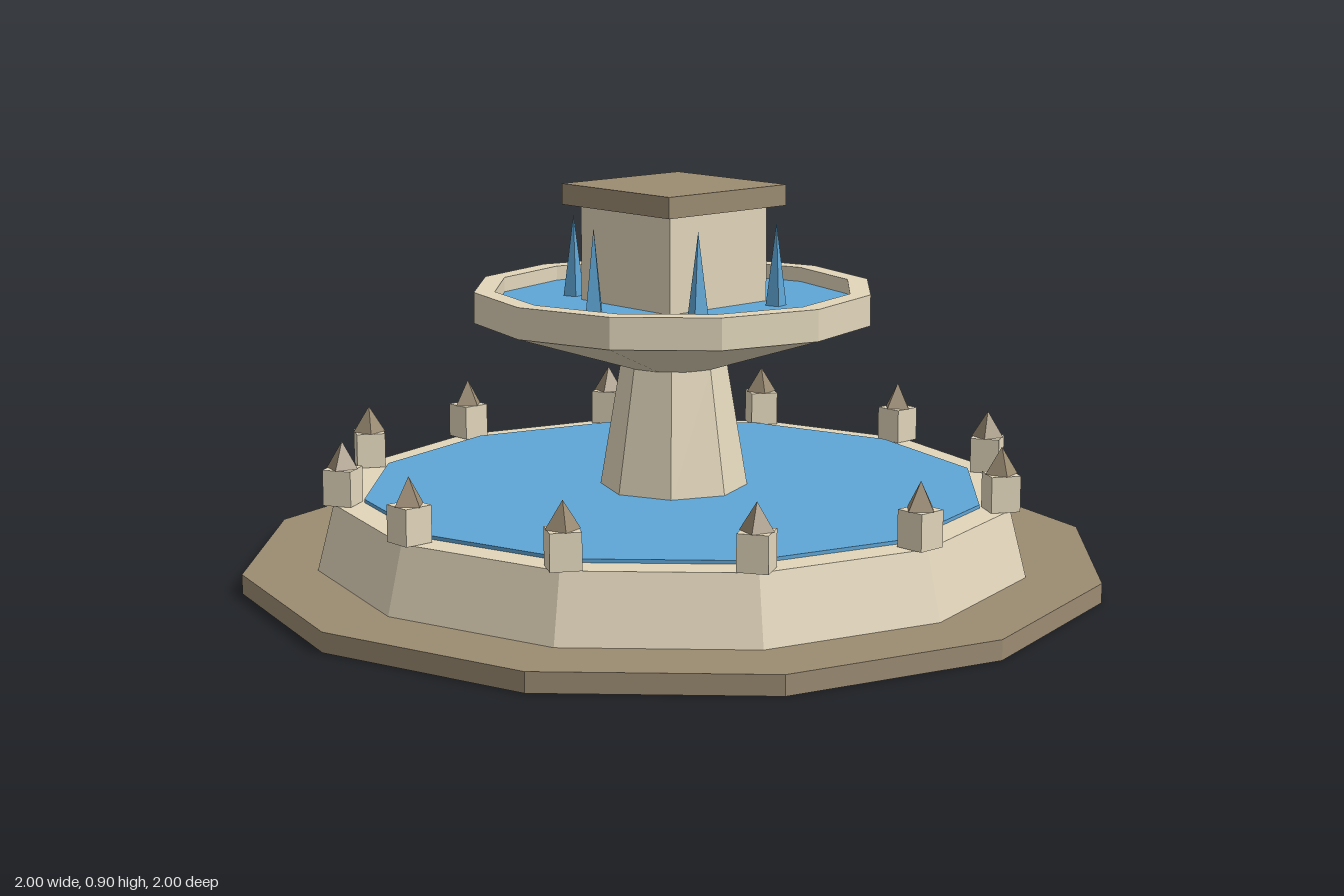
import * as THREE from 'three';

const material = (color) => new THREE.MeshStandardMaterial({ color, flatShading: true });

export function createModel() {
  const fountain = new THREE.Group();
  fountain.name = 'fountain';
  const stone = material(0xe2d6bb);
  const darkStone = material(0x9b8b72);
  darkStone.side = THREE.DoubleSide; // the plinth is an open shell
  const water = material(0x5fa6d6);

  const add = (name, geometry, mat, x, y, z, parent = fountain) => {
    const mesh = new THREE.Mesh(geometry, mat);
    mesh.name = name;
    mesh.position.set(x, y, z);
    parent.add(mesh);
    return mesh;
  };
  // Upright prism or frustum between two heights
  const drum = (name, rTop, rBottom, y0, y1, sides, mat) =>
    add(name, new THREE.CylinderGeometry(rTop, rBottom, y1 - y0, sides), mat, 0, (y0 + y1) / 2, 0);
  // Twelve-sided shell turned from [radius, height] pairs
  const turned = (name, profile, mat) =>
    add(name, new THREE.LatheGeometry(profile.map(([r, y]) => new THREE.Vector2(r, y)), 12), mat, 0, 0, 0);

  // Plinth open underneath, lower basin and pool
  turned('plinth', [[1, 0], [1, 0.045], [0, 0.045]], darkStone);
  drum('basin', 0.79, 0.829, 0.0445, 0.197, 12, stone);
  drum('poolWater', 0.72, 0.72, 0.19, 0.205, 12, water);

  // Pedestal
  drum('pedestal', 0.123, 0.172, 0.197, 0.492, 8, stone);

  // Upper bowl with a recessed water surface
  turned('upperBowl', [
    [0, 0.49], [0.12, 0.49], [0.463, 0.6], [0.463, 0.671],
    [0.415, 0.671], [0.415, 0.625], [0, 0.625],
  ], stone);
  drum('bowlWater', 0.415, 0.415, 0.627, 0.637, 12, water);

  // Square centre block and its cap slab
  add('centreBlock', new THREE.BoxGeometry(0.3, 0.235, 0.3), stone, 0, 0.7425, 0);
  add('capSlab', new THREE.BoxGeometry(0.362, 0.048, 0.362), darkStone, 0, 0.881, 0);

  // Water jets around the centre block
  const jetGeometry = new THREE.ConeGeometry(0.025, 0.195, 4);
  for (let i = 0; i < 6; i++) {
    const a = (i * Math.PI) / 3;
    const jet = add('waterJet', jetGeometry, water, 0.243 * Math.cos(a), 0.7295, 0.243 * Math.sin(a));
    jet.rotation.y = a;
  }

  // Small capped posts along the basin rim
  const postGeometry = new THREE.BoxGeometry(0.068, 0.082, 0.068);
  const finialGeometry = new THREE.ConeGeometry(0.038, 0.062, 4);
  for (let i = 0; i < 12; i++) {
    const a = (i * Math.PI) / 6;
    const post = new THREE.Group();
    post.name = 'rimPost';
    post.position.set(0.768 * Math.cos(a), 0, 0.768 * Math.sin(a));
    post.rotation.y = a;
    add('postBlock', postGeometry, stone, 0, 0.239, 0, post);
    add('postFinial', finialGeometry, darkStone, 0, 0.311, 0, post);
    fountain.add(post);
  }
  return fountain;
}
